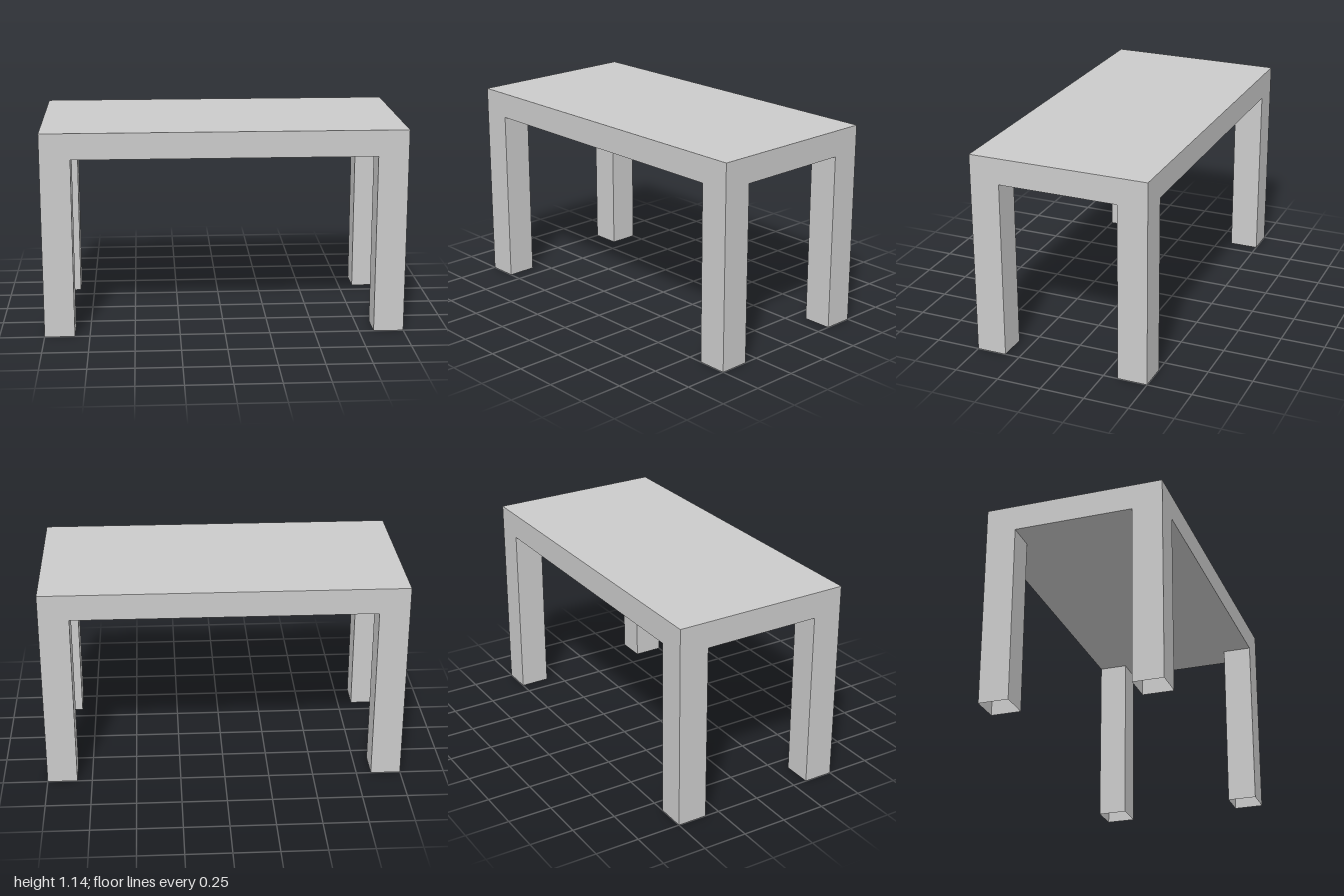
import * as THREE from 'three';

const HALF_X = 1, HALF_Z = 0.5, TOP = 1.145, UNDER = 1, LEG = 0.167;

// Box shell without the listed sides (0..5 = +x, -x, +y, -y, +z, -z)
function openBox(w, h, d, openSides) {
  const geo = new THREE.BoxGeometry(w, h, d);
  const index = Array.from(geo.index.array);
  geo.setIndex(index.filter((_, i) => !openSides.includes(Math.floor(i / 6))));
  geo.clearGroups();
  return geo;
}

export function createModel() {
  const group = new THREE.Group();
  group.name = 'table';
  const material = new THREE.MeshStandardMaterial({
    color: 0xcccccc, flatShading: true, side: THREE.DoubleSide,
  });
  const add = (name, geo, x, y, z) => {
    const mesh = new THREE.Mesh(geo, material);
    mesh.name = name;
    mesh.position.set(x, y, z);
    group.add(mesh);
  };

  // Tabletop with its rim
  add('tabletop', openBox(2 * HALF_X, TOP - UNDER, 2 * HALF_Z, [3]), 0, (TOP + UNDER) / 2, 0);

  // Underside: a cross that leaves the hollow legs open at the corners
  const ix = HALF_X - LEG, iz = HALF_Z - LEG;
  const cross = new THREE.Shape([
    [-ix, -HALF_Z], [ix, -HALF_Z], [ix, -iz], [HALF_X, -iz], [HALF_X, iz], [ix, iz],
    [ix, HALF_Z], [-ix, HALF_Z], [-ix, iz], [-HALF_X, iz], [-HALF_X, -iz], [-ix, -iz],
  ].map(([x, z]) => new THREE.Vector2(x, z)));
  add('underside', new THREE.ShapeGeometry(cross).rotateX(Math.PI / 2), 0, UNDER, 0);

  // Four hollow square legs, open at the foot
  const legGeo = openBox(LEG, UNDER, LEG, [2, 3]);
  for (const [sx, side] of [[1, 'Left'], [-1, 'Right']]) {
    for (const [sz, end] of [[1, 'front'], [-1, 'back']]) {
      add(`${end}${side}Leg`, legGeo, sx * (HALF_X - LEG / 2), UNDER / 2, sz * (HALF_Z - LEG / 2));
    }
  }
  return group;
}
